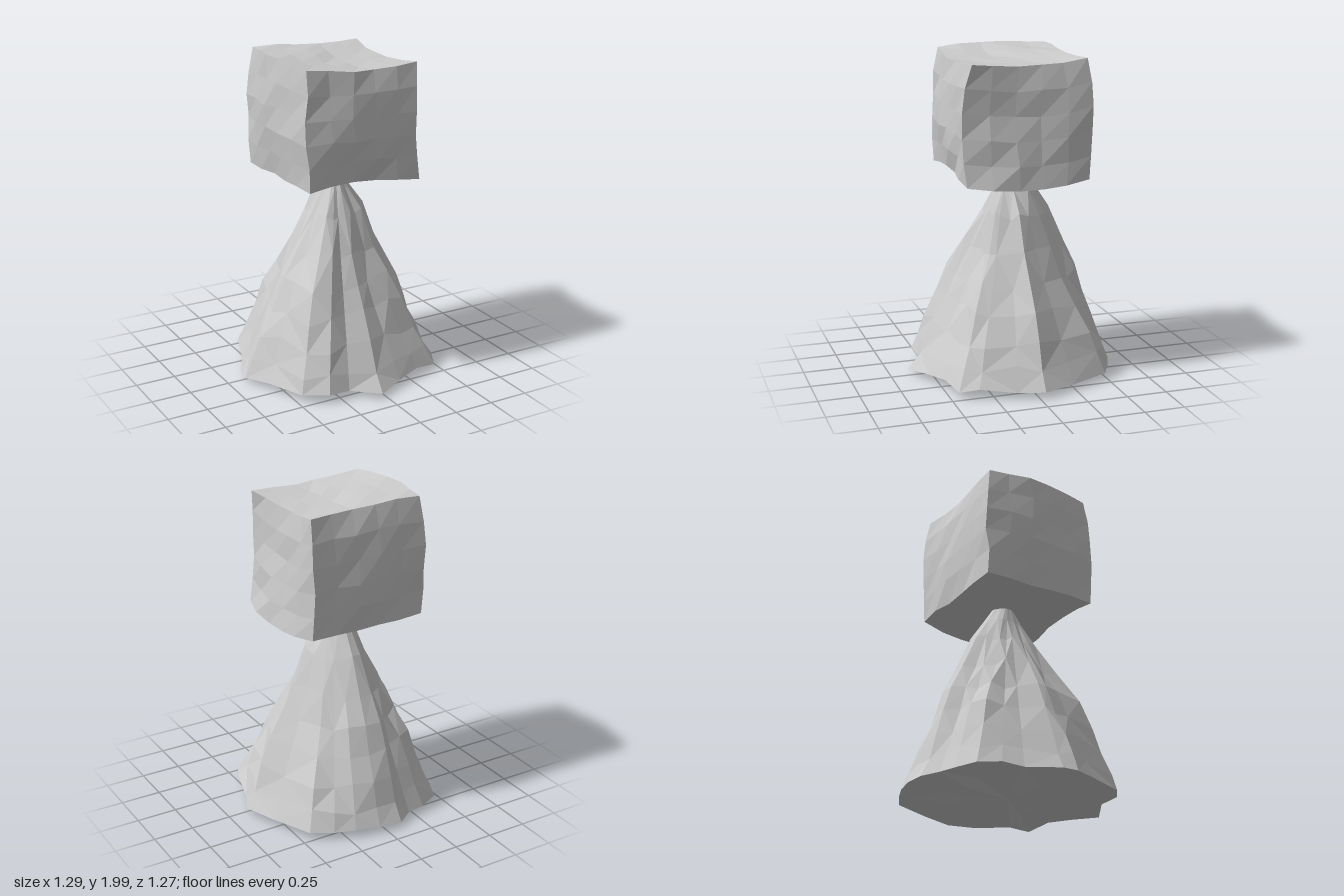
import * as THREE from 'three';

const stone = () => new THREE.MeshStandardMaterial({ color: 0xcccccc, flatShading: true });

// Repeatable noise in -1..1, so vertices at the same place move together
function noise(a, b, c) {
  const s = Math.sin(a * 127.1 + b * 311.7 + c * 74.7) * 43758.5453;
  return (s - Math.floor(s)) * 2 - 1;
}

// Foot outline (x, z), from the -x side round the back, right and front
const OUTLINE = [
  [-0.65, 0.04], [-0.635, -0.05], [-0.54, -0.24], [-0.5, -0.36], [-0.45, -0.49], [-0.32, -0.55],
  [-0.2, -0.575], [-0.1, -0.64], [0.05, -0.635], [0.2, -0.6], [0.32, -0.55], [0.45, -0.48],
  [0.56, -0.23], [0.64, -0.03], [0.57, 0.12], [0.51, 0.34], [0.46, 0.45], [0.3, 0.49],
  [0.14, 0.555], [-0.03, 0.635], [-0.2, 0.53], [-0.34, 0.54], [-0.47, 0.44], [-0.57, 0.2],
];

// Ring height, then reach along eight ridges: -x, back left corner, -z, ... round to front
const RINGS = [
  [0.05, 0.64, 0.64, 0.64, 0.64, 0.64, 0.64, 0.64, 0.64],
  [0.16, 0.59, 0.59, 0.6, 0.6, 0.59, 0.59, 0.57, 0.61],
  [0.3, 0.52, 0.53, 0.535, 0.53, 0.53, 0.515, 0.48, 0.57],
  [0.46, 0.44, 0.46, 0.485, 0.43, 0.46, 0.43, 0.39, 0.51],
  [0.62, 0.36, 0.37, 0.45, 0.35, 0.38, 0.34, 0.3, 0.44],
  [0.8, 0.26, 0.28, 0.375, 0.28, 0.28, 0.25, 0.225, 0.3],
  [1.0, 0.15, 0.19, 0.26, 0.21, 0.2, 0.165, 0.145, 0.17],
  [1.16, 0.075, 0.12, 0.175, 0.13, 0.1, 0.08, 0.08, 0.085],
  [1.26, 0.04, 0.065, 0.11, 0.065, 0.03, 0.03, 0.03, 0.035],
];

// Reach of a ring at a given direction, blended between its ridges
function reach(ring, x, z) {
  const turn = ((Math.atan2(-z, -x) / (Math.PI / 4)) + 8) % 8;
  const i = Math.floor(turn);
  return THREE.MathUtils.lerp(ring[1 + i], ring[1 + (i + 1) % 8], turn - i);
}

// Rough skirted cone, lofted through the rings and closed above and below
function coneGeometry() {
  const n = OUTLINE.length;
  const pos = [], index = [];
  RINGS.forEach((ring, j) => {
    OUTLINE.forEach(([x, z], i) => {
      const rough = j === 0 ? 0 : 0.03 * noise(i, j, 1);
      const k = (1 + rough) * reach(ring, x, z) / 0.64;
      const dy = j === 0 ? 0.015 * noise(i, 3, 5) : j < 7 ? 0.03 * noise(i, j, 3) : 0;
      pos.push(x * k, ring[0] + dy, z * k);
    });
  });
  // Uneven inner ring under the foot
  const inner = RINGS.length * n;
  OUTLINE.forEach(([x, z], i) => pos.push(x * 0.6, 0.035 + 0.03 * noise(i >> 1, 9, 1), z * 0.6));
  const tip = inner + n;
  pos.push(-0.01, 1.3, -0.03, 0, 0.045, 0);

  const top = (RINGS.length - 1) * n;
  for (let i = 0; i < n; i++) {
    const k = (i + 1) % n;
    for (let j = 0; j < RINGS.length - 1; j++) {
      const a = j * n + i, b = j * n + k, c = a + n, d = b + n;
      if ((i + j) % 2) index.push(a, b, c, b, d, c);
      else index.push(a, d, c, a, b, d);
    }
    index.push(top + i, top + k, tip);
    index.push(i, inner + i, k, k, inner + i, inner + k);
    index.push(inner + i, tip + 1, inner + k);
  }
  // The outline runs clockwise from above, so the winding is reversed
  const g = new THREE.BufferGeometry();
  g.setAttribute('position', new THREE.Float32BufferAttribute(pos, 3));
  g.setIndex(index.reverse());
  g.computeVertexNormals();
  return g;
}

// Block corners, indexed by x + 2y + 4z
const CORNERS = [
  [-0.38, 1.265, -0.385], [0.37, 1.25, -0.39], [-0.36, 1.99, -0.365], [0.365, 1.97, -0.37],
  [-0.37, 1.27, 0.365], [0.375, 1.245, 0.365], [-0.37, 1.98, 0.33], [0.365, 1.955, 0.33],
].map((c) => new THREE.Vector3(...c));

// Hewn block: corners blended, sides bowed, then roughened
function blockGeometry() {
  const g = new THREE.BoxGeometry(1, 1, 1, 5, 5, 5);
  const p = g.attributes.position;
  const v = new THREE.Vector3();
  const bow = (t) => Math.sin(Math.PI * t);
  for (let i = 0; i < p.count; i++) {
    const [u, h, w] = [p.getX(i) + 0.5, p.getY(i) + 0.5, p.getZ(i) + 0.5];
    v.set(0, 0, 0);
    CORNERS.forEach((c, m) => {
      v.addScaledVector(c, (m & 1 ? u : 1 - u) * (m & 2 ? h : 1 - h) * (m & 4 ? w : 1 - w));
    });
    // Top edges pinch, the lower right side swells, the front right edge bends in
    v.x += bow(w) * (0.05 * u * (1 - h) - 0.035 * h);
    v.x += bow(h) * (u * (0.015 * bow(w) - 0.03 * w) - (1 - u) * (0.015 + 0.015 * bow(w)));
    v.z += (w - 0.5) * bow(h) * (0.04 + 0.04 * Math.max(u, bow(u))) + 0.02 * bow(u) * h;
    // Top sags at the front and right; bottom rises in front and drops at the right
    v.y += h * (bow(w) * (0.015 - 0.05 * u) - 0.03 * bow(u) * w);
    v.y += (1 - h) * (0.035 * bow(u) * w - 0.04 * bow(w) * u);
    const [a, b, c] = [u, h, w].map((t) => Math.round(t * 5));
    const corner = [a, b, c].every((t) => t === 0 || t === 5);
    const amp = corner ? 0 : 0.012;
    v.x += amp * noise(a, b, c + 11);
    v.y += amp * 0.7 * noise(a + 7, b, c);
    v.z += amp * noise(a, b + 5, c);
    p.setXYZ(i, v.x, Math.min(v.y, 2), v.z);
  }
  g.computeVertexNormals();
  return g;
}

export function createModel() {
  const group = new THREE.Group();
  group.name = 'roughStonePiece';

  const base = new THREE.Mesh(coneGeometry(), stone());
  base.name = 'coneBase';

  const block = new THREE.Mesh(blockGeometry(), stone());
  block.name = 'topBlock';

  group.add(base, block);
  return group;
}
